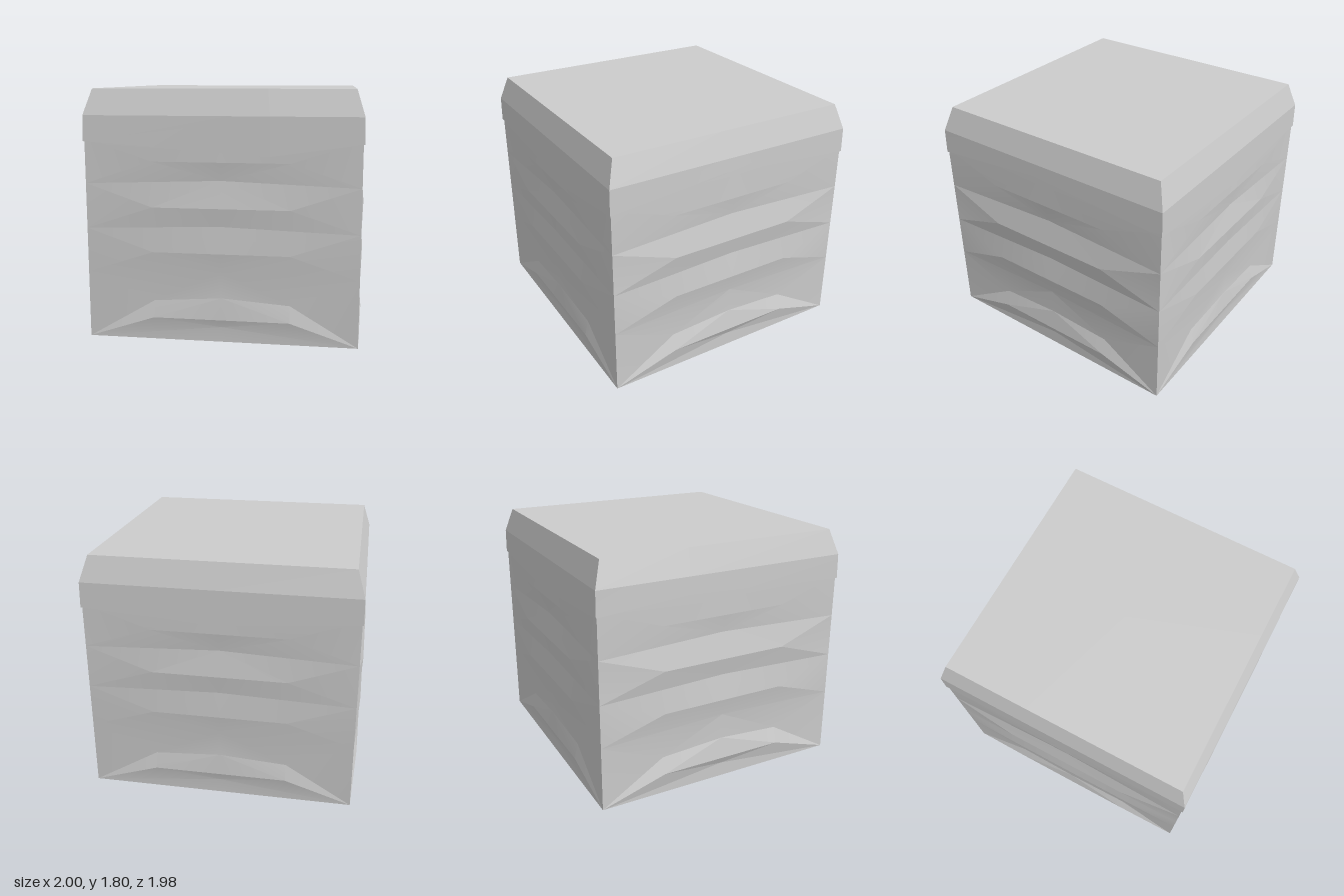
import * as THREE from 'three';
import { toCreasedNormals } from 'three/addons/utils/BufferGeometryUtils.js';

const H = 0.974; // half width of the body
const material = new THREE.MeshStandardMaterial({ color: 0xcccccc, side: THREE.DoubleSide });

function fromTriangles(tris, crease) {
  const geometry = new THREE.BufferGeometry();
  geometry.setAttribute('position', new THREE.Float32BufferAttribute(tris.flat(2), 3));
  return toCreasedNormals(geometry, crease);
}

// One dented wall facing +z: the left half is described, then mirrored
function wallGeometry(d) {
  const half = [];
  const add = (...tris) => half.push(...tris);
  const at = (u, y, out = 0) => [u, y, H + out];

  // Foot: low bulge with a recessed fold above it
  const A = at(-H, 0), G = at(0, 0), P = at(0, 0.11);
  const foot = at(-0.49, 0.165, d), footMid = at(0, 0.165, d);
  const Q = at(-0.49, 0.285, -0.012), R = at(0, 0.325);
  const first = 0.488, step = 0.3245;
  const E = at(-H, first), C = at(0, first + 0.033);
  add([A, G, P], [A, P, foot], [P, footMid, foot], [foot, footMid, R], [foot, R, Q],
    [A, foot, Q], [A, Q, E], [Q, C, E], [Q, R, C]);

  // Three stacked bulges, the last one mostly a recess
  const bulge = [d, d, 0.003], recess = [0, 0, -0.015, 0];
  for (let k = 0; k < 3; k++) {
    const y = first + k * step;
    const E0 = at(-H, y), C0 = at(0, y + 0.033, recess[k]);
    const E1 = at(-H, y + step), C1 = at(0, y + step + 0.033, recess[k + 1]);
    const B = at(-0.49, y + step / 2, bulge[k]), M = at(0, y + step / 2, bulge[k]);
    add([E0, C0, B], [C0, M, B], [B, M, C1], [B, C1, E1], [E0, B, E1]);
  }

  // Plain strip running up under the lid
  const top = first + 3 * step;
  const E3 = at(-H, top), C3 = at(0, top + 0.033), T = at(0, 1.62), TL = at(-H, 1.62);
  add([E3, C3, T], [E3, T, TL]);

  const mirror = ([x, y, z]) => [-x, y, z];
  const right = half.map(([a, b, c]) => [mirror(a), mirror(c), mirror(b)]);
  return fromTriangles([...half, ...right], 0.15);
}

// Lid: rings of four corners and four side points, with a bent hem
function lidGeometry() {
  const mids = [[0.35, 1.345], [-0.1, 1.52], [0, 1.365], [-0.3, 1.49]]; // offset along side, hem height
  const ring = (r, height) => mids.flatMap(([u, hem], i) => {
    const turn = (x, z) => {
      const c = [1, 0, -1, 0][i], s = [0, 1, 0, -1][i];
      return [x * c + z * s, z * c - x * s];
    };
    return [[-r, 1.437], [u * r, hem]].map(([x, y]) => {
      const [px, pz] = turn(x, r);
      return [px, height ?? y, pz];
    });
  });
  const rings = [ring(H), ring(0.983), ring(0.98, 1.62), ring(0.923, 1.805)];
  const tris = [];
  for (let j = 0; j < 3; j++) {
    for (let i = 0; i < 8; i++) {
      const n = (i + 1) % 8;
      const a = rings[j][i], b = rings[j][n], c = rings[j + 1][n], d = rings[j + 1][i];
      tris.push([a, b, c], [a, c, d]);
    }
  }
  const last = rings[3];
  for (let i = 0; i < 8; i++) tris.push([last[i], last[(i + 1) % 8], [0, 1.805, 0]]);
  return fromTriangles(tris, 0.15);
}

export function createModel() {
  const model = new THREE.Group();
  model.name = 'liddedBlock';

  const parts = new THREE.Group();
  parts.position.x = -0.005;
  model.add(parts);
  const addMesh = (name, geometry) => {
    const mesh = new THREE.Mesh(geometry, material);
    mesh.name = name;
    parts.add(mesh);
    return mesh;
  };

  // Four dented walls; the side walls bulge a little more
  ['frontWall', 'leftWall', 'backWall', 'rightWall'].forEach((name, i) => {
    addMesh(name, wallGeometry(i % 2 ? 0.025 : 0.015)).rotation.y = i * Math.PI / 2;
  });

  // Flat underside
  addMesh('base', new THREE.PlaneGeometry(2 * H, 2 * H)).rotation.x = Math.PI / 2;

  // Bevelled lid with overhanging hem
  addMesh('lid', lidGeometry());
  return model;
}
